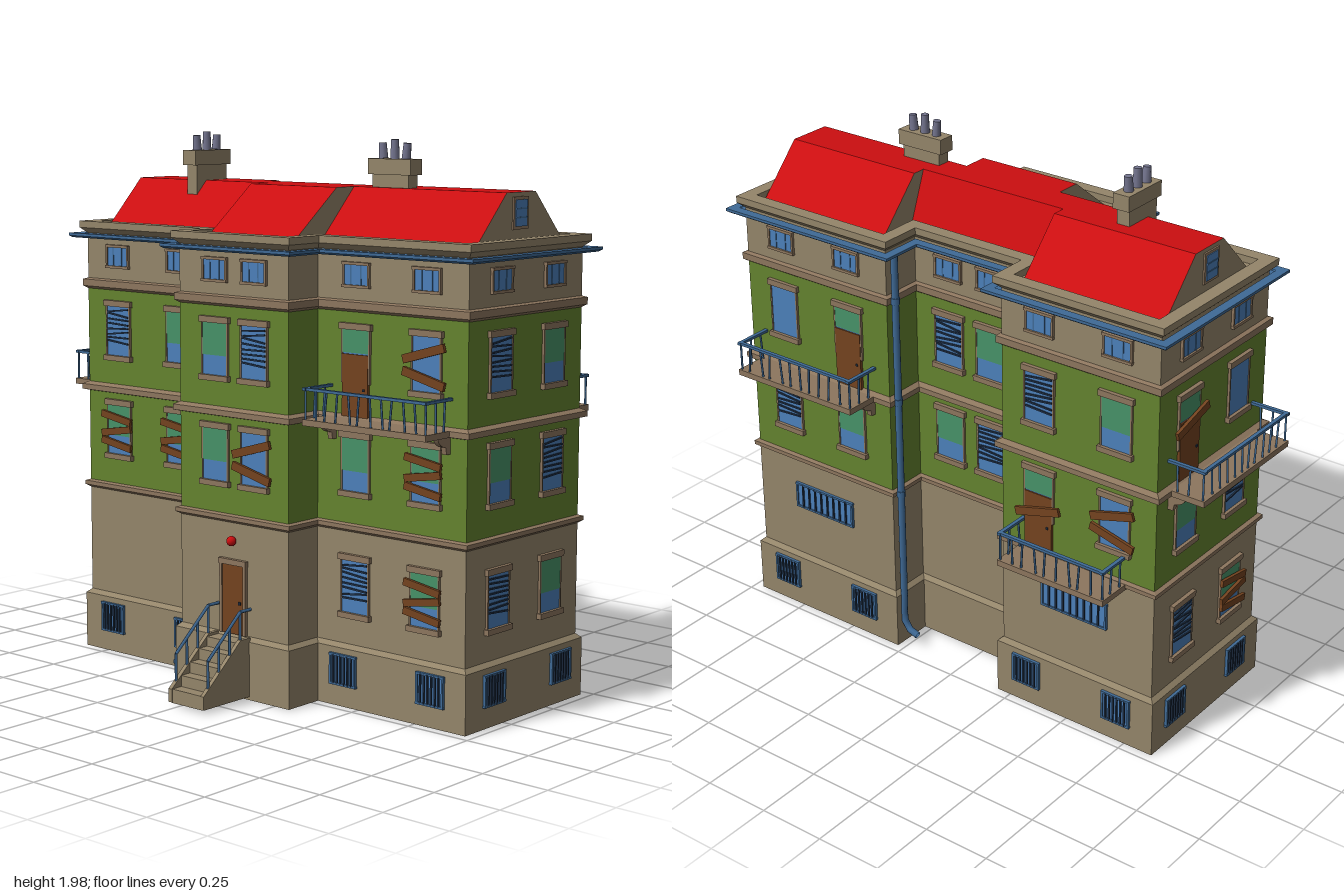
import * as THREE from 'three';

const mat = (name, color, side = THREE.FrontSide) => {
  const m = new THREE.MeshStandardMaterial({ color, side });
  m.name = name;
  return m;
};

export function createModel() {
  const D = THREE.DoubleSide;
  const stone = mat('stone', 0x94856a, D), trim = mat('trim', 0x8d765e, D), green = mat('greenPaint', 0x64832f, D);
  const red = mat('red', 0xcc0e10, D), metal = mat('blueMetal', 0x3f6a96, D), glass = mat('glass', 0x4c80ba);
  const curtain = mat('curtain', 0x479268), dark = mat('darkBars', 0x22334a), wood = mat('wood', 0x74431f), pot = mat('pot', 0x74758f);
  const root = new THREE.Group();
  root.name = 'townhouse';
  let seed = 7;
  const rnd = () => (seed = (seed * 16807) % 2147483647) / 2147483647 - 0.5;

  const add = (parent, geo, m, name) => {
    const mesh = new THREE.Mesh(geo, m);
    mesh.name = name;
    parent.add(mesh);
    return mesh;
  };
  const box = (parent, name, m, w, h, d, x, y, z, tilt = 0) => {
    const b = add(parent, new THREE.BoxGeometry(w, h, d), m, name);
    b.position.set(x, y, z);
    b.rotation.z = tilt;
    return b;
  };
  const rod = (parent, name, m, a, b, r) => {
    const p = new THREE.Vector3(...a), q = new THREE.Vector3(...b), dir = q.clone().sub(p);
    const c = add(parent, new THREE.CylinderGeometry(r, r, dir.length(), 6), m, name);
    c.position.copy(p).add(q).multiplyScalar(0.5);
    c.quaternion.setFromUnitVectors(new THREE.Vector3(0, 1, 0), dir.normalize());
  };
  // Side profile (outward, up) extruded to a width, centred on local x
  const sideExtrude = (shape, w) => new THREE.ExtrudeGeometry(shape, { depth: w, bevelEnabled: false, curveSegments: 6 })
    .translate(0, 0, -w / 2).rotateY(-Math.PI / 2);
  // Group on a wall: local x runs along it, local z points outward
  const turn = { front: 0, back: Math.PI, right: Math.PI / 2, left: -Math.PI / 2 };
  const onWall = (name, side, along, dist) => {
    const g = new THREE.Group();
    g.name = name;
    if (side === 'front' || side === 'back') g.position.set(along, 0, dist);
    else g.position.set(dist, 0, along);
    g.rotation.y = turn[side];
    root.add(g);
    return g;
  };

  // Footprint, offset outward by d
  const plan = [[-0.2, -0.85], [0.45, -0.85], [0.45, -0.21], [0.29, -0.21], [0.29, 0.295], [0.45, 0.295],
    [0.45, 0.95], [-0.2, 0.95], [-0.2, 0.3], [-0.355, 0.3], [-0.355, -0.215], [-0.2, -0.215]];
  const n = plan.length;
  const normal = (i) => {
    const a = plan[i % n], b = plan[(i + 1) % n];
    return [Math.sign(b[1] - a[1]), -Math.sign(b[0] - a[0])];
  };
  const offset = (d) => plan.map((p, i) => {
    const u = normal(i + n - 1), v = normal(i);
    return [p[0] + d * (u[0] + v[0]), p[1] + d * (u[1] + v[1])];
  });
  const band = (name, m, profile) => {
    const pos = [];
    for (let k = 0; k < profile.length - 1; k++) {
      const [d0, y0] = profile[k], [d1, y1] = profile[k + 1], lo = offset(d0), hi = offset(d1);
      for (let i = 0; i < n; i++) {
        const j = (i + 1) % n;
        const a = [lo[i][0], y0, lo[i][1]], b = [lo[j][0], y0, lo[j][1]];
        const c = [hi[i][0], y1, hi[i][1]], e = [hi[j][0], y1, hi[j][1]];
        pos.push(...a, ...c, ...b, ...b, ...c, ...e);
      }
    }
    const g = new THREE.BufferGeometry();
    g.setAttribute('position', new THREE.Float32BufferAttribute(pos, 3));
    g.computeVertexNormals();
    add(root, g, m, name);
  };
  band('lowerWall', stone, [[0.0165, 0], [0.0165, 0.21], [0, 0.225], [0, 0.625]]);
  band('lowerLedge', trim, [[0, 0.625], [0.015, 0.635], [0.015, 0.65], [0, 0.655]]);
  band('middleWall', green, [[0, 0.655], [0, 1]]);
  band('middleLedge', trim, [[0, 1], [0.02, 1.005], [0.02, 1.025], [0, 1.035]]);
  band('upperWall', green, [[0, 1.035], [0, 1.39]]);
  band('upperLedge', trim, [[0, 1.39], [0.015, 1.4], [0.015, 1.425], [0, 1.43]]);
  band('atticWall', stone, [[0, 1.43], [0, 1.6], [0.022, 1.62], [0.022, 1.645], [-0.03, 1.645], [-0.03, 1.62]]);
  band('gutter', metal, [[0, 1.583], [0.04, 1.583], [0.05, 1.59], [0.05, 1.6], [0.015, 1.6]]);
  const deck = new THREE.Shape(offset(-0.03).map((p) => new THREE.Vector2(...p)));
  add(root, new THREE.ShapeGeometry(deck).rotateX(Math.PI / 2).translate(0, 1.62, 0), stone, 'roofDeck');

  // Roof blocks: red slopes with stone gable ends
  const roof = (name, xs, z0, z1) => {
    const s = new THREE.Shape([[xs[0], 1.62], [xs[3], 1.62], [xs[2], 1.8], [xs[1], 1.8]].map((p) => new THREE.Vector2(...p)));
    const g = new THREE.ExtrudeGeometry(s, { depth: z1 - z0, bevelEnabled: false }).translate(0, 0, z0);
    add(root, g, [stone, red], name);
  };
  roof('frontRoof', [-0.12, 0.055, 0.22, 0.39], 0.348, 0.91);
  roof('backRoof', [-0.12, 0.055, 0.22, 0.39], -0.82, -0.257);
  roof('middleRoof', [-0.12, 0.055, 0.17, 0.24], -0.257, 0.348);
  roof('bayRoof', [-0.27, -0.04, 0.1, 0.1], -0.16, 0.247);

  // Chimneys with three pots each
  const chimney = (x, z, len, yTop, along) => {
    const g = new THREE.Group();
    g.name = 'chimney';
    g.position.set(x, 0, z);
    if (along) g.rotation.y = Math.PI / 2;
    root.add(g);
    box(g, 'stack', stone, len - 0.03, yTop - 1.74, 0.05, 0, (yTop + 1.7) / 2, 0);
    box(g, 'stackCap', stone, len, 0.055, 0.065, 0, yTop - 0.0275, 0);
    [-1, 0, 1].forEach((i) => {
      const h = 0.055 + (i === 0 ? 0.012 : 0);
      const p = add(g, new THREE.CylinderGeometry(0.014, 0.017, h, 10), pot, 'pot');
      p.position.set(i * 0.053, yTop + h / 2, 0);
      p.rotation.z = i * -0.08;
    });
  };
  chimney(0.087, 0.405, 0.19, 1.9, true);
  chimney(0.085, -0.498, 0.19, 1.912, false);

  // Windows: sill, lintel, pane and one of several fillings
  const opening = (side, along, dist, y, kind) => {
    const g = onWall('window', side, along, dist), w = 0.115, h = 0.185, door = kind === 'd';
    box(g, 'pane', glass, w, h, 0.012, 0, y + h / 2, 0);
    box(g, 'lintel', trim, w + 0.025, 0.022, 0.03, 0, y + h + 0.011, 0);
    if (!door) box(g, 'sill', trim, w + 0.025, 0.02, 0.036, 0, y - 0.01, 0);
    for (const s of [-1, 1]) box(g, 'jamb', trim, 0.006, h, 0.018, s * (w / 2 + 0.003), y + h / 2, 0);
    if ('cpd'.includes(kind)) {
      const ch = door ? 0.08 : 0.115;
      box(g, 'curtain', curtain, w, ch, 0.016, 0, y + h - ch / 2, 0);
    }
    if (kind === 'b') for (let i = 0; i < 8; i++)
      box(g, 'slat', dark, w - 0.006, 0.006, 0.006, 0, y + h - 0.015 - i * 0.017, 0.008, rnd() * 0.28);
    if (door) {
      box(g, 'balconyDoor', wood, w, 0.225, 0.022, 0, y - 0.012, 0);
      box(g, 'doorKnob', dark, 0.008, 0.008, 0.03, 0.04, y - 0.02, 0);
    }
    if (kind === 'p') [0.04, 0.09, 0.14].forEach((t, i) =>
      box(g, 'plank', wood, 0.155, 0.026, 0.012, 0, y + t, 0.02, (i % 2 ? 1 : -1) * 0.16));
    if (kind === 'x') [[0.13, 0.28], [0.045, -0.24]].forEach(([t, a]) =>
      box(g, 'plank', wood, 0.18, 0.03, 0.012, 0, y + t, 0.02, a));
    return g;
  };
  const cols = [0.78, 0.475, 0.145, -0.04, -0.37, -0.685];
  const rightDist = [0.45, 0.45, 0.29, 0.29, 0.45, 0.45], leftDist = [-0.2, -0.2, -0.355, -0.355, -0.2, -0.2];
  const floors = [0.34, 0.77, 1.145];
  // One letter per column: b blinds, c curtain, g glass, d door, p or x planks, . blank
  const rows = (side, spots, dists, table) => table.forEach((row, f) => [...row].forEach((kind, i) => {
    if (kind !== '.') opening(side, spots[i], dists[i], floors[f], kind);
  }));
  rows('right', cols, rightDist, ['......', 'bccbdx', 'gdbcbc']);
  rows('left', cols, leftDist, ['pb....', 'pcxcpp', 'xdbccb']);
  rows('front', [-0.025, 0.28], [0.95, 0.95], ['bc', 'cb', 'bc']);
  rows('back', [-0.025, 0.28], [-0.85, -0.85], ['pb', 'bc', 'gd']);
  // Loose planks across two balcony doors
  box(onWall('looseBoard', 'right', -0.375, 0.47), 'plank', wood, 0.19, 0.03, 0.012, 0, 0.81, 0, 0.27);
  box(onWall('looseBoard', 'back', 0.28, -0.87), 'plank', wood, 0.19, 0.03, 0.012, 0, 1.24, 0, 0.27);

  // Barred openings and attic windows
  const barred = (side, along, dist, y, w, h, bars) => {
    const g = onWall('barredWindow', side, along, dist);
    box(g, 'pane', glass, w, h, 0.012, 0, y + h / 2, 0);
    for (const t of [0, h]) box(g, 'frameRail', metal, w + 0.01, 0.008, 0.022, 0, y + t, 0);
    for (const s of [-1, 1]) box(g, 'frameSide', metal, 0.008, h, 0.022, s * w / 2, y + h / 2, 0);
    for (let i = 1; i < bars; i++) box(g, 'bar', dark, 0.006, h, 0.006, -w / 2 + (w * i) / bars, y + h / 2, 0.009);
  };
  const attic = (side, along, dist) => {
    const g = onWall('atticWindow', side, along, dist);
    box(g, 'pane', glass, 0.105, 0.07, 0.012, 0, 1.517, 0);
    for (const y of [1.478, 1.556]) box(g, 'frameRail', trim, 0.12, 0.01, 0.026, 0, y, 0);
    for (const x of [-0.055, 0.055]) box(g, 'frameSide', trim, 0.008, 0.075, 0.02, x, 1.517, 0);
    for (const x of [-0.022, 0.022]) box(g, 'mullion', metal, 0.005, 0.07, 0.016, x, 1.517, 0);
  };
  cols.forEach((z, i) => {
    attic('right', z, rightDist[i]);
    attic('left', z, leftDist[i]);
  });
  for (const z of [0.82, 0.435, -0.325, -0.715]) {
    barred('right', z, 0.4665, 0.08, 0.11, 0.105, 7);
    barred('left', z, -0.2165, 0.08, 0.11, 0.105, 7);
  }
  for (const z of [0.628, -0.522]) barred('right', z, 0.45, 0.435, 0.27, 0.095, 9);
  for (const [side, d, s] of [['front', 0.95, 1], ['back', -0.85, -1]]) {
    for (const x of [-0.025, 0.28]) attic(side, x, d);
    for (const x of [-0.06, 0.33]) barred(side, x, d + s * 0.0165, 0.08, 0.11, 0.105, 7);
    const g = onWall('gableWindow', side, 0.13, s > 0 ? 0.91 : -0.82);
    box(g, 'gableFrame', trim, 0.085, 0.11, 0.012, 0, 1.73, 0);
    box(g, 'gablePane', glass, 0.065, 0.09, 0.018, 0, 1.73, 0);
    for (const y of [1.715, 1.745]) box(g, 'gableBar', metal, 0.065, 0.005, 0.022, 0, y, 0);
  }

  // Balconies with brackets and slightly bent balusters
  const balcony = (side, along, dist, y, w) => {
    const g = onWall('balcony', side, along, dist), dep = 0.147, rail = y + 0.115;
    box(g, 'balconyFloor', trim, w, 0.022, dep, 0, y, dep / 2);
    box(g, 'topRail', metal, w, 0.01, 0.014, 0, rail, dep - 0.01);
    const count = Math.round(w / 0.05);
    for (let i = 0; i <= count; i++) {
      const x = -w / 2 + 0.008 + ((w - 0.016) * i) / count, bend = i % count ? rnd() * 0.025 : 0;
      rod(g, 'baluster', metal, [x + bend, y, dep - 0.01], [x, rail, dep - 0.01], 0.004);
    }
    const bracket = new THREE.Shape();
    bracket.moveTo(0, 0);
    bracket.lineTo(0.07, 0);
    bracket.quadraticCurveTo(0.06, -0.03, 0.025, -0.035);
    bracket.lineTo(0.02, -0.06);
    bracket.lineTo(0, -0.06);
    for (const s of [-1, 1]) {
      const x = s * (w / 2 - 0.008);
      box(g, 'sideRail', metal, 0.014, 0.01, dep, x, rail, dep / 2);
      for (const z of [0.035, 0.085]) rod(g, 'baluster', metal, [x, y, z + rnd() * 0.02], [x, rail, z], 0.004);
      const b = add(g, sideExtrude(bracket, 0.02), trim, 'bracket');
      b.position.set(s * (w / 2 - (w > 0.5 ? 0.02 : 0.085)), y - 0.01, 0);
    }
  };
  balcony('back', 0.13, -0.85, 1.015, 0.53);
  balcony('right', -0.518, 0.45, 0.638, 0.445);
  balcony('right', 0.622, 0.45, 1.015, 0.535);
  balcony('left', 0.622, -0.2, 1.015, 0.535);

  // Downpipes with a kicked-out foot
  for (const [x, z] of [[0.43, 0.272], [-0.305, -0.238]]) {
    const pts = [[1.59, 0], [1.2, 0], [0.6, 0], [0.2, 0], [0.1, 0], [0.065, -0.02], [0.05, -0.06]];
    const path = new THREE.CatmullRomCurve3(pts.map(([y, dz]) => new THREE.Vector3(x, y, z + dz)), false, 'centripetal');
    add(root, new THREE.TubeGeometry(path, 40, 0.013, 8), metal, 'downpipe');
    for (const y of [0.64, 1.015, 1.41]) rod(root, 'pipeCollar', metal, [x, y - 0.012, z], [x, y + 0.012, z], 0.017);
  }

  // Entrance: door, lamp and steps with railings
  const entry = onWall('entrance', 'left', 0.045, -0.355);
  box(entry, 'frontDoor', wood, 0.1, 0.25, 0.018, 0, 0.35, 0);
  box(entry, 'doorHead', trim, 0.13, 0.02, 0.03, 0, 0.485, 0);
  for (const s of [-1, 1]) box(entry, 'doorJamb', trim, 0.012, 0.25, 0.026, s * 0.056, 0.35, 0);
  box(entry, 'doorKnob', dark, 0.01, 0.01, 0.03, 0.035, 0.34, 0);
  add(entry, new THREE.SphereGeometry(0.018, 12, 8), red, 'lamp').position.set(0, 0.562, 0.016);
  box(entry, 'landing', stone, 0.15, 0.205, 0.06, 0, 0.1125, 0.04);
  for (let i = 0; i < 4; i++) {
    const top = 0.18 - i * 0.04;
    box(entry, 'step', stone, 0.15, top - 0.01, 0.045, 0, top / 2 + 0.005, 0.09 + i * 0.045);
  }
  const cheek = new THREE.Shape([[0.01, 0.012], [0.25, 0.012], [0.25, 0.06], [0.06, 0.225], [0.01, 0.225]].map((p) => new THREE.Vector2(...p)));
  for (const s of [-1, 1]) {
    const x = s * 0.077;
    add(entry, sideExtrude(cheek, 0.016), stone, 'stairCheek').position.x = x;
    rod(entry, 'handrail', metal, [x, 0.18, 0.22], [x, 0.325, 0.055], 0.006);
    rod(entry, 'handrail', metal, [x, 0.325, 0.055], [x, 0.325, 0], 0.006);
    for (const [z, y0, y1] of [[0.22, 0.08, 0.18], [0.165, 0.13, 0.23], [0.11, 0.18, 0.277], [0.055, 0.22, 0.325]])
      rod(entry, 'railPost', metal, [x, y0, z], [x, y1, z], 0.005);
  }
  return root;
}
